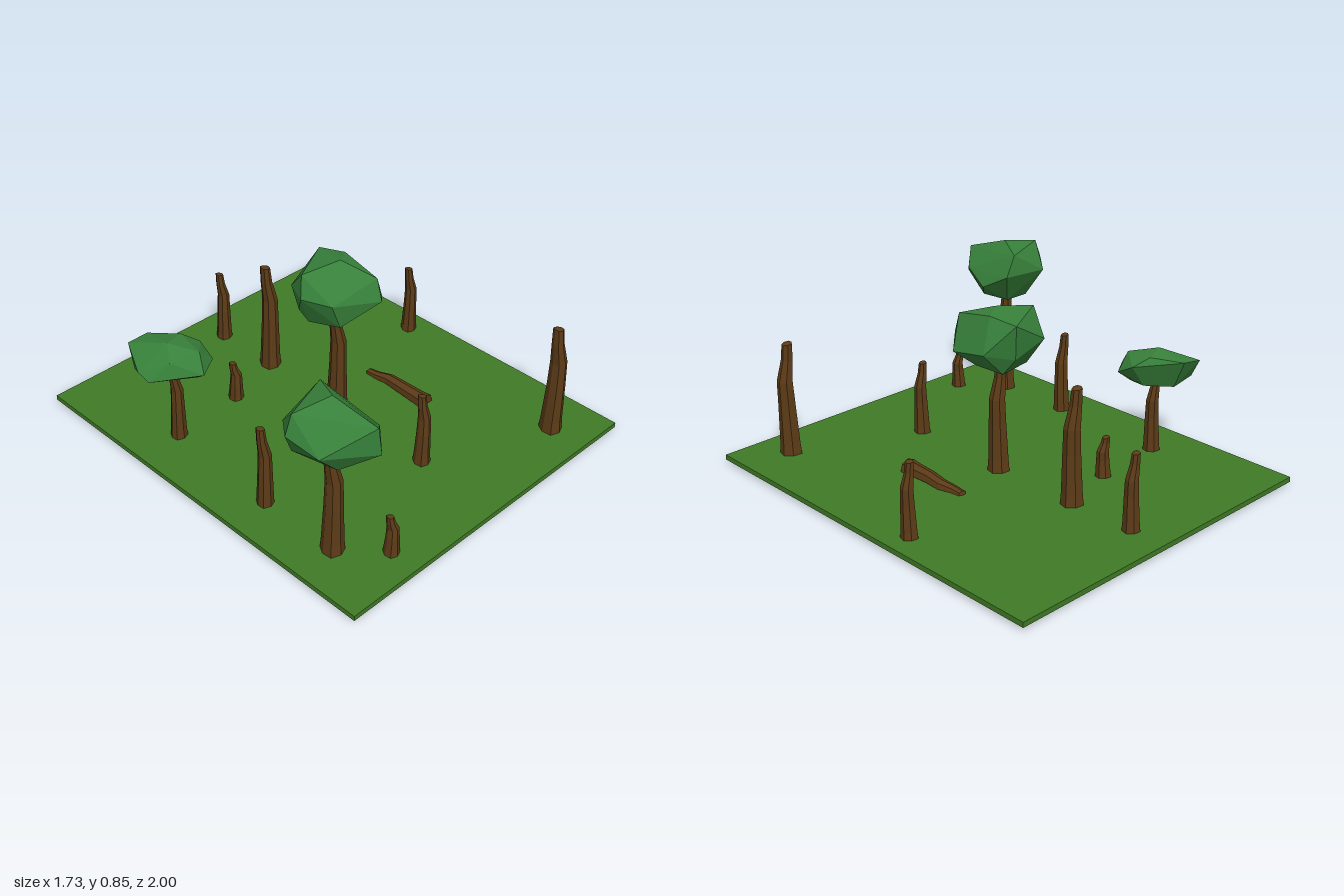
import * as THREE from 'three';
import { ConvexGeometry } from 'three/addons/geometries/ConvexGeometry.js';

const bark = new THREE.MeshStandardMaterial({ color: 0x5c3b17, flatShading: true });
const leaf = new THREE.MeshStandardMaterial({ color: 0x37803a, flatShading: true });
const grass = new THREE.MeshStandardMaterial({ color: 0x3f7a25, flatShading: true });

// Crooked tapering trunk: rings of [height, radius, shift x, shift z], scaled by h and r
const RINGS = [
  [0, 1, 0, 0], [0.12, 0.9, 0.02, 0], [0.45, 0.77, 0.08, 0.05],
  [0.67, 0.7, 0.22, -0.05], [0.85, 0.52, -0.08, -0.12], [1, 0.45, -0.12, -0.2],
];
const SIDES = 7;
const TOP = RINGS.length - 1;

function trunkGeometry(r, h) {
  const geo = new THREE.CylinderGeometry(1, 1, 1, SIDES, TOP);
  const pos = geo.attributes.position;
  for (let i = 0; i < pos.count; i++) {
    const x = pos.getX(i), z = pos.getZ(i);
    const k = Math.round((pos.getY(i) + 0.5) * TOP);
    const [t, s, dx, dz] = RINGS[k];
    // uneven outline and a slanted, broken top
    const lump = 1 + 0.07 * Math.sin(3 * Math.atan2(z, x) + 1);
    const slant = k === TOP ? -0.08 * r * (1 + x) * Math.hypot(x, z) : 0;
    pos.setXYZ(i, r * (x * s * lump + dx), h * t + slant, r * (z * s * lump + dz));
  }
  geo.computeVertexNormals();
  return geo;
}

function trunk(name, x, z, r, h, y = 0.03) {
  const mesh = new THREE.Mesh(trunkGeometry(r, h), bark);
  mesh.name = name;
  mesh.position.set(x, y, z);
  return mesh;
}

// Faceted crowns, each the hull of a few corners
const CROWNS = [
  [[-0.66, 0.845, 0.67], [-0.83, 0.82, 0.62], [-0.59, 0.81, 0.53], [-0.62, 0.78, 0.88], [-0.61, 0.65, 0.89],
    [-0.866, 0.73, 0.62], [-0.776, 0.7, 0.51], [-0.53, 0.71, 0.52], [-0.497, 0.635, 0.66], [-0.53, 0.7, 0.8],
    [-0.83, 0.68, 0.77], [-0.815, 0.62, 0.6], [-0.74, 0.555, 0.6], [-0.61, 0.555, 0.6], [-0.72, 0.56, 0.76],
    [-0.58, 0.56, 0.74]],
  [[0.05, 0.845, 0], [-0.13, 0.82, -0.06], [0.13, 0.83, -0.05], [0.1, 0.81, -0.185], [-0.09, 0.7, -0.17],
    [-0.165, 0.72, -0.03], [0.2, 0.67, -0.08], [0.205, 0.64, 0.11], [0.12, 0.79, 0.16], [0.11, 0.69, 0.2],
    [-0.1, 0.71, 0.1], [-0.13, 0.63, -0.08], [0.11, 0.56, 0.06], [-0.09, 0.555, -0.06], [-0.05, 0.58, 0.1],
    [0.1, 0.56, -0.1], [0.08, 0.64, -0.16]],
  [[-0.65, 0.56, -0.37], [-0.74, 0.52, -0.54], [-0.64, 0.53, -0.53], [-0.55, 0.545, -0.4], [-0.485, 0.5, -0.35],
    [-0.49, 0.45, -0.26], [-0.6, 0.45, -0.19], [-0.57, 0.53, -0.25], [-0.79, 0.43, -0.34], [-0.8, 0.46, -0.4],
    [-0.7, 0.51, -0.3], [-0.76, 0.42, -0.48], [-0.66, 0.385, -0.46], [-0.575, 0.385, -0.27], [-0.72, 0.385, -0.38],
    [-0.56, 0.39, -0.36]],
];

export function createModel() {
  const model = new THREE.Group();
  model.name = 'woodlandPatch';

  // Ground slab
  const ground = new THREE.Mesh(new THREE.BoxGeometry(1.73, 0.025, 2), grass);
  ground.name = 'ground';
  ground.position.y = 0.0275;
  model.add(ground);

  // Leafy trees: trunk x, z, radius, height
  const trees = [[-0.66, 0.67, 0.054, 0.56], [0.04, -0.01, 0.052, 0.56], [-0.635, -0.36, 0.041, 0.4]];
  trees.forEach((t, i) => {
    const tree = new THREE.Group();
    tree.name = 'tree' + (i + 1);
    const crown = new THREE.Mesh(
      new ConvexGeometry(CROWNS[i].map((p) => new THREE.Vector3(...p))), leaf);
    crown.name = 'crown';
    tree.add(trunk('trunk', ...t), crown);
    model.add(tree);
  });

  // Bare standing trunks: x, z, radius, height and optional base level
  const bare = [
    [0.62, 0.81, 0.054, 0.57], [0.04, -0.475, 0.053, 0.57], [0.035, -0.815, 0.041, 0.38],
    [0.75, -0.205, 0.04, 0.37], [0.02, 0.55, 0.041, 0.38], [-0.665, 0.26, 0.043, 0.45, 0],
    [-0.26, -0.39, 0.039, 0.21], [-0.5, 0.855, 0.038, 0.21],
  ];
  bare.forEach((b, i) => model.add(trunk('bareTrunk' + (i + 1), ...b)));

  // Fallen trunk, half sunk in the grass
  const fallen = trunk('fallenTrunk', 0.34, 0.285, 0.044, 0.37, 0.05);
  fallen.rotation.x = -Math.PI / 2;
  model.add(fallen);

  return model;
}
